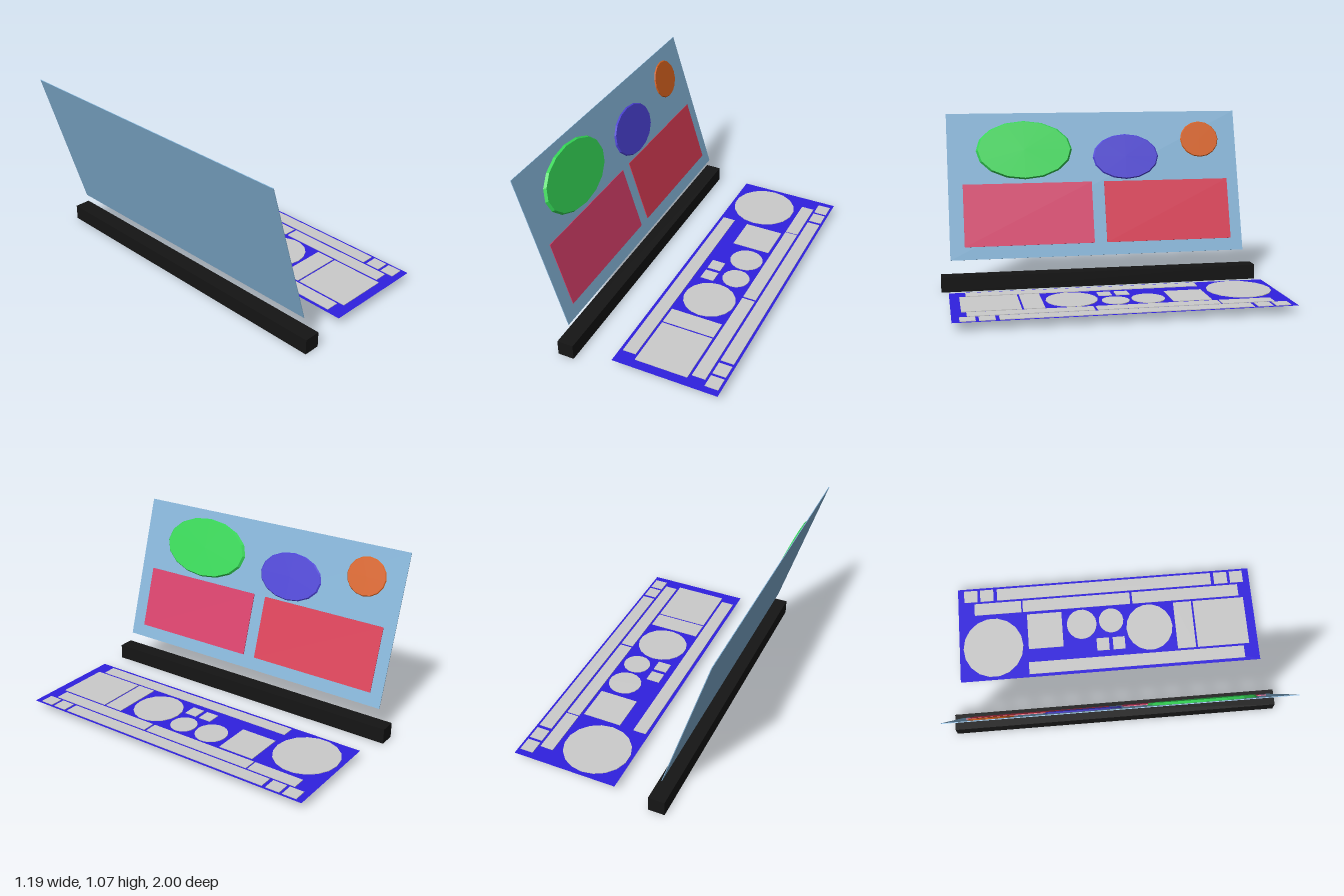
import * as THREE from 'three';

const paint = (color) => new THREE.MeshStandardMaterial({ color, flatShading: true, side: THREE.DoubleSide });

function add(parent, name, geometry, material, x, y, z) {
  const mesh = new THREE.Mesh(geometry, material);
  mesh.name = name;
  mesh.position.set(x, y, z);
  parent.add(mesh);
  return mesh;
}

export function createModel() {
  const model = new THREE.Group();
  model.name = 'model';

  // Square bar lying on the ground
  add(model, 'baseBar', new THREE.BoxGeometry(0.098, 0.093, 2), paint(0x151515), -0.321, 0.0465, 0);

  // Leaning panel: local x is its normal, local y runs up its slope
  const panel = new THREE.Group();
  panel.name = 'leaningPanel';
  panel.position.set(-0.46, 0.6265, 0);
  panel.rotation.z = Math.atan2(0.27, 0.883);
  model.add(panel);
  add(panel, 'board', new THREE.BoxGeometry(0.004, 0.923, 1.875), paint(0x85b4d8), 0, 0, 0.0025);

  // Two rectangular plates on the lower half
  for (const [name, z, color] of [['leftPlate', 0.4425, 0xd83f6a], ['rightPlate', -0.4525, 0xda3c55]]) {
    add(panel, name, new THREE.BoxGeometry(0.005, 0.392, 0.815), paint(color), 0.0035, -0.187, z);
  }

  // Three oval discs with bevelled rims on the upper half: y, z, y radius, z radius, thickness
  const discs = [
    ['greenDisc', 0.222, 0.457, 0.188, 0.305, 0.014, 0x35d957],
    ['blueDisc', 0.168, -0.195, 0.147, 0.215, 0.008, 0x4c42d6],
    ['orangeDisc', 0.274, -0.692, 0.118, 0.127, 0.006, 0xd8621f],
  ];
  for (const [name, y, z, ry, rz, t, color] of discs) {
    const disc = add(panel, name, new THREE.CylinderGeometry(0.96, 1, t, 16), paint(color), 0.002 + t / 2, y, z);
    disc.rotation.z = -Math.PI / 2;
    disc.scale.set(ry, 1, rz);
  }

  // Flat sheet on which the grey tiles are laid out
  const layout = new THREE.Group();
  layout.name = 'floorLayout';
  layout.position.y = 0.048;
  model.add(layout);
  const sheet = add(layout, 'sheet', new THREE.PlaneGeometry(0.64, 1.925), paint(0x3020e0), 0.27, 0, -0.0025);
  sheet.rotation.x = -Math.PI / 2;

  const grey = paint(0xcccccc);
  const thick = 0.008;

  // Rectangular tiles: x from, x to, z from, z to
  const tiles = [
    [-0.03, 0.05, -0.525, 0.865],
    [0.14, 0.38, -0.52, -0.295],
    [0.093, 0.177, -0.08, 0],
    [0.093, 0.177, 0.025, 0.103],
    [0.065, 0.385, 0.44, 0.558],
    [0.065, 0.385, 0.57, 0.903],
    ...[[-0.86, -0.555], [-0.545, 0.16], [0.175, 0.876]].map((z) => [0.4, 0.48, ...z]),
    ...[[-0.925, -0.838], [-0.82, -0.733], [-0.71, 0.706], [0.727, 0.815], [0.833, 0.918]]
      .map((z) => [0.495, 0.575, ...z]),
  ];
  for (const [x0, x1, z0, z1] of tiles) {
    add(layout, 'tile', new THREE.BoxGeometry(x1 - x0, thick, z1 - z0), grey, (x0 + x1) / 2, 0, (z0 + z1) / 2);
  }

  // Round tiles: x, z, x radius, z radius
  const rounds = [
    [0.17, -0.747, 0.2, 0.193],
    [0.283, -0.168, 0.102, 0.097],
    [0.294, 0.025, 0.084, 0.08],
    [0.228, 0.27, 0.158, 0.15],
  ];
  for (const [x, z, rx, rz] of rounds) {
    add(layout, 'roundTile', new THREE.CylinderGeometry(1, 1, thick, 18), grey, x, 0, z).scale.set(rx, 1, rz);
  }

  return model;
}
